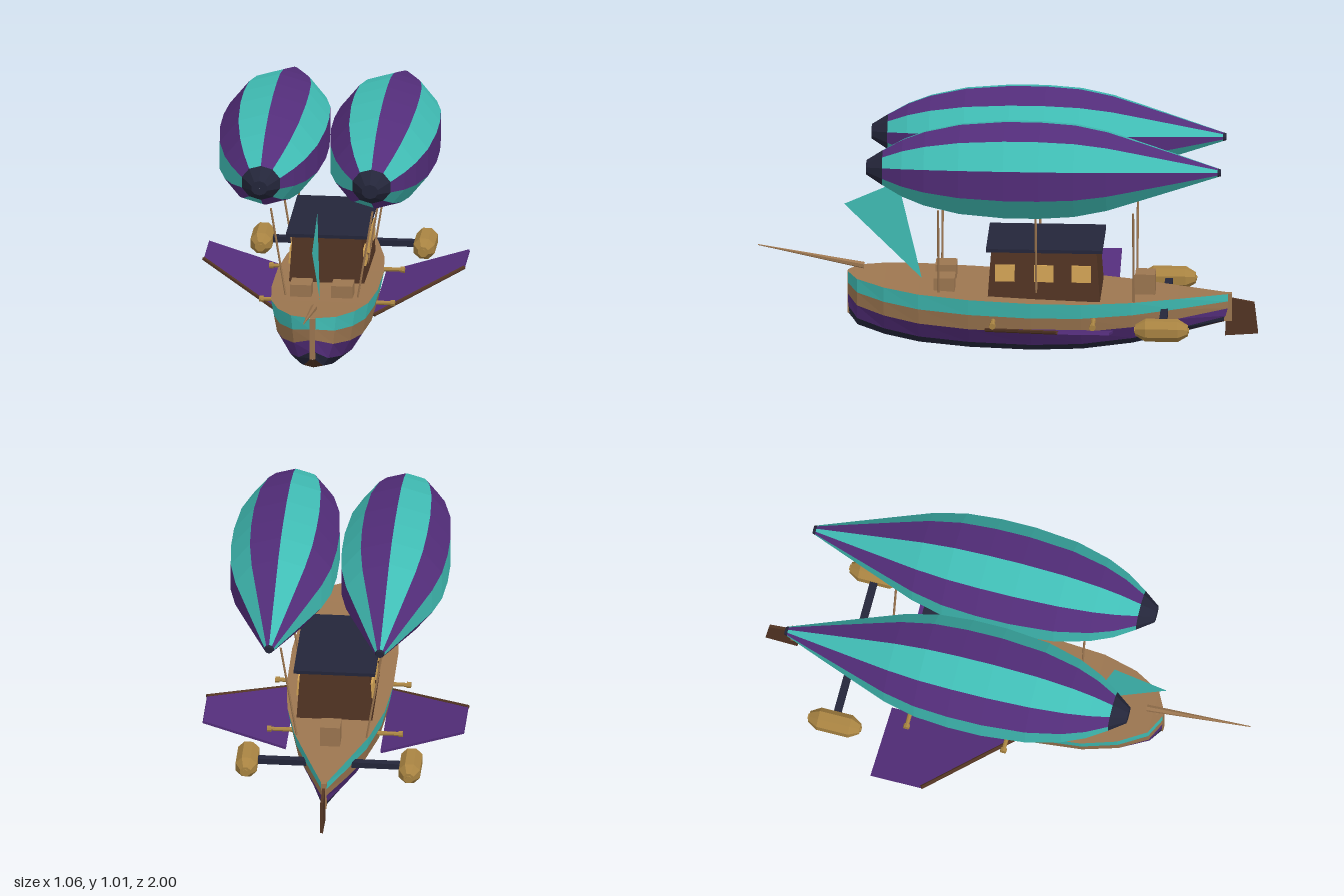
import * as THREE from 'three';

const paint = (name, color) => {
  const m = new THREE.MeshStandardMaterial({ color });
  m.name = name;
  return m;
};

// Faceted normals for the low-poly look
function flat(geo) {
  const g = geo.index ? geo.toNonIndexed() : geo;
  g.computeVertexNormals();
  return g;
}

// Skin between cross-sections (ordered front to back), using only some columns
function loft(rings, cols) {
  const pos = [];
  for (let i = 0; i < rings.length - 1; i++) {
    for (const j of cols) {
      const a = rings[i][j], d = rings[i][j + 1], b = rings[i + 1][j], c = rings[i + 1][j + 1];
      pos.push(...a, ...d, ...c, ...a, ...c, ...b);
    }
  }
  const g = new THREE.BufferGeometry();
  g.setAttribute('position', new THREE.Float32BufferAttribute(pos, 3));
  return flat(g);
}

export function createModel() {
  const root = new THREE.Group();
  root.name = 'airship';

  const teal = paint('teal', 0x40bdb5);
  const purple = paint('purple', 0x532d7a);
  const navy = paint('navy', 0x24263a);
  const wood = paint('wood', 0x9c7650);
  const brown = paint('dark wood', 0x523423);
  const brass = paint('brass', 0xa98442);
  const glow = paint('window amber', 0xd2a355);
  const sailCloth = paint('sail teal', 0x40bdb5);
  sailCloth.side = THREE.DoubleSide;

  function add(name, geo, mat, x = 0, y = 0, z = 0) {
    const m = new THREE.Mesh(geo, mat);
    m.name = name;
    m.position.set(x, y, z);
    root.add(m);
    return m;
  }
  const box = (name, w, h, d, mat, x, y, z) => add(name, new THREE.BoxGeometry(w, h, d), mat, x, y, z);

  // Tapered rod from a to b
  function rod(name, a, b, ra, rb, mat, sides = 6) {
    const A = new THREE.Vector3(...a), B = new THREE.Vector3(...b);
    const dir = B.clone().sub(A);
    const m = add(name, flat(new THREE.CylinderGeometry(rb, ra, dir.length(), sides)), mat);
    m.position.copy(A).add(B).multiplyScalar(0.5);
    m.quaternion.setFromUnitVectors(new THREE.Vector3(0, 1, 0), dir.normalize());
    return m;
  }

  // Hull stations: z, half width, sheer height, keel height
  const stations = [
    [0.64, 0.012, 0.308, 0.13], [0.6, 0.09, 0.302, 0.085], [0.49, 0.155, 0.29, 0.055],
    [0.35, 0.195, 0.276, 0.03], [0.15, 0.213, 0.262, 0.014], [-0.1, 0.213, 0.25, 0.006],
    [-0.3, 0.195, 0.243, 0.012], [-0.5, 0.15, 0.239, 0.035], [-0.68, 0.085, 0.237, 0.072],
    [-0.88, 0.012, 0.236, 0.122],
  ];
  // Section profile as fractions of half width and height
  const section = [[1, 1], [0.94, 0.73], [0.88, 0.47], [0.66, 0.19], [0.43, 0.04], [0, 0]];
  const profile = [...section, ...section.slice(0, 5).reverse().map(([u, v]) => [-u, v])];
  const hullRings = stations.map(([z, w, top, keel]) =>
    profile.map(([u, v]) => [u * w, keel + v * (top - keel), z]));
  const bands = [['sheerStrake', teal], ['woodStrake', wood], ['purpleStrake', purple],
    ['navyStrake', navy], ['hullBottom', brown]];
  bands.forEach(([name, mat], i) => add(name, loft(hullRings, [i, 9 - i]), mat));
  add('deck', loft(stations.map(([z, w, top]) => [[-w, top, z], [w, top, z]]), [0]), wood);
  box('stemPost', 0.022, 0.172, 0.03, wood, 0, 0.219, 0.627);
  box('sternPost', 0.022, 0.114, 0.03, wood, 0, 0.18, -0.88);

  // Rudder plate
  const rudderShape = new THREE.Shape([[0.875, 0.22], [0.985, 0.2], [1.0, 0.07], [0.868, 0.06]]
    .map(([x, y]) => new THREE.Vector2(x, y)));
  const rudderGeo = new THREE.ExtrudeGeometry(rudderShape, { depth: 0.012, bevelEnabled: false });
  rudderGeo.translate(0, 0, -0.006).rotateY(Math.PI / 2);
  add('rudder', rudderGeo, brown);

  // Bowsprit and jib
  rod('bowsprit', [0, 0.33, 0.575], [0, 0.41, 1.0], 0.014, 0.002, wood);
  const jib = new THREE.BufferGeometry();
  jib.setAttribute('position', new THREE.Float32BufferAttribute(
    [0, 0.588, 0.655, 0, 0.28, 0.345, 0, 0.685, 0.44], 3));
  add('jibSail', flat(jib), sailCloth);

  // Cabin with inward-leaning walls
  const cabinGeo = new THREE.BoxGeometry(0.304, 0.21, 0.45);
  const p = cabinGeo.attributes.position;
  for (let i = 0; i < p.count; i++) {
    if (p.getY(i) > 0) p.setXYZ(i, p.getX(i) * 0.91, p.getY(i), p.getZ(i) * 0.935);
  }
  add('cabin', flat(cabinGeo), brown, 0, 0.345, -0.15);
  box('cabinRoof', 0.326, 0.014, 0.465, navy, 0, 0.455, -0.152);

  // Deck crates
  box('frontCrate', 0.085, 0.09, 0.085, wood, 0.083, 0.277, 0.25);
  box('frontCrate', 0.085, 0.09, 0.085, wood, -0.083, 0.277, 0.25);
  box('rearCrate', 0.08, 0.09, 0.08, wood, 0, 0.277, -0.55);

  // Balloon profile: z, radius
  const body = [[0.49, 0.072], [0.41, 0.118], [0.32, 0.153], [0.18, 0.185], [0, 0.2], [-0.14, 0.2],
    [-0.28, 0.19], [-0.41, 0.163], [-0.53, 0.124], [-0.7, 0.068], [-0.85, 0.018]];
  const nose = [[0.555, 0.0005], [0.555, 0.03], [0.49, 0.072]];
  const tail = [[-0.85, 0.018], [-0.862, 0.014], [-0.862, 0.0005]];
  const ringsOf = pts => pts.map(([z, r]) => Array.from({ length: 11 }, (_, j) => {
    const a = Math.PI / 2 - j * Math.PI / 5;
    return [Math.cos(a) * r * 1.115, Math.sin(a) * r, z];
  }));
  const even = [0, 2, 4, 6, 8], odd = [1, 3, 5, 7, 9], all = [...even, ...odd];

  // Fin outline: span against distance aft
  const finLength = 0.349, finAngle = 0.305;
  const finShape = new THREE.Shape([[0, -0.08], [finLength, 0.22], [finLength, 0.43], [0, 0.43]]
    .map(([x, y]) => new THREE.Vector2(x, y)));
  const finGeo = new THREE.ExtrudeGeometry(finShape, { depth: 0.01, bevelEnabled: false });
  finGeo.translate(0, 0, -0.005).rotateX(-Math.PI / 2);

  const podGeo = flat(new THREE.LatheGeometry([[0.0005, -0.105], [0.022, -0.105], [0.046, -0.065],
    [0.046, 0.065], [0.022, 0.105], [0.0005, 0.105]].map(([x, y]) => new THREE.Vector2(x, y)), 8));
  podGeo.rotateY(Math.PI / 8).rotateX(Math.PI / 2);

  for (const s of [1, -1]) {
    // Striped balloon
    const bx = s * 0.222, by = 0.82;
    add('balloonPurpleStripes', loft(ringsOf(body), even), purple, bx, by);
    add('balloonTealStripes', loft(ringsOf(body), odd), teal, bx, by);
    add('balloonNose', loft(ringsOf(nose), all), navy, bx, by);
    add('balloonTail', loft(ringsOf(tail), all), navy, bx, by);

    // Suspension cables
    for (const z of [0.27, -0.12, -0.51]) {
      rod('cable', [s * 0.14, 0.24, z], [s * 0.204, 0.635, z], 0.0045, 0.0045, wood);
    }

    // Cabin windows
    for (const z of [0.005, -0.15, -0.3]) {
      box('window', 0.009, 0.068, 0.078, glow, s * 0.149, 0.357, z).rotation.z = s * 0.066;
    }

    // Side fin with leading spar
    const fin = add('fin', finGeo, purple, s * 0.19, 0.13, 0);
    fin.rotation.z = s > 0 ? finAngle : Math.PI - finAngle;
    rod('finSpar', [s * 0.19, 0.13, 0.08], [s * 0.523, 0.237, -0.222], 0.008, 0.008, brown);

    // Engine pod on its strut
    box('podStrut', 0.23, 0.024, 0.03, navy, s * 0.195, 0.187, -0.63);
    add('enginePod', podGeo, brass, s * 0.327, 0.187, -0.63);
    const hub = add('podHub', flat(new THREE.CylinderGeometry(0.012, 0.012, 0.22, 8)), brass,
      s * 0.327, 0.187, -0.63);
    hub.rotation.x = Math.PI / 2;

    // Brass deck guns through the side
    for (const z of [0.05, -0.35]) {
      rod('gunBarrel', [s * 0.15, 0.172, z], [s * 0.265, 0.172, z], 0.01, 0.008, brass, 8);
      rod('gunMuzzle', [s * 0.255, 0.172, z], [s * 0.272, 0.172, z], 0.013, 0.013, brass, 8);
    }
  }
  return root;
}
